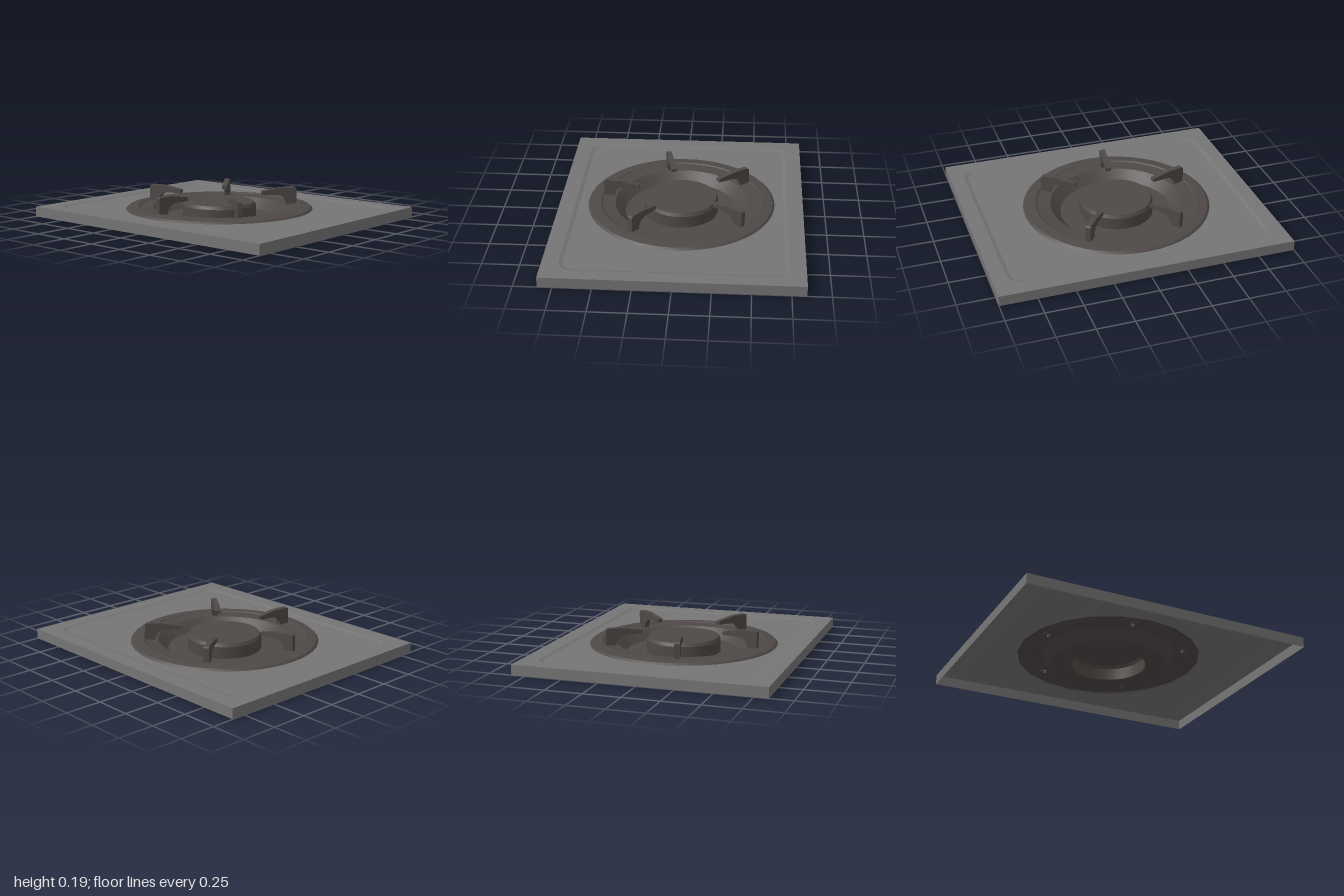
import * as THREE from 'three';
import { toCreasedNormals } from 'three/addons/utils/BufferGeometryUtils.js';

const W = 0.845, D = 1, TOP = 0.07, RECESS = 0.061, CZ = -0.04;

function rect(w, d, r) {
  const s = new THREE.Shape();
  s.moveTo(-w + r, -d);
  s.lineTo(w - r, -d);
  if (r) s.absarc(w - r, -d + r, r, -Math.PI / 2, 0);
  s.lineTo(w, d - r);
  if (r) s.absarc(w - r, d - r, r, 0, Math.PI / 2);
  s.lineTo(-w + r, d);
  if (r) s.absarc(-w + r, d - r, r, Math.PI / 2, Math.PI);
  s.lineTo(-w, -d + r);
  if (r) s.absarc(-w + r, -d + r, r, Math.PI, Math.PI * 1.5);
  s.closePath();
  return s;
}

// Flat horizontal sheet at height y
function sheet(shape, y) {
  return new THREE.ShapeGeometry(shape, 10).rotateX(-Math.PI / 2).translate(0, y, 0);
}

// Strip joining two outlines with the same number of points
function band(shapeA, yA, shapeB, yB) {
  const a = shapeA.getPoints(8), b = shapeB.getPoints(8), pos = [];
  for (let i = 0; i < a.length; i++) {
    const j = (i + 1) % a.length;
    const p = [a[i].x, yA, -a[i].y], q = [a[j].x, yA, -a[j].y];
    const r = [b[j].x, yB, -b[j].y], s = [b[i].x, yB, -b[i].y];
    pos.push(...p, ...q, ...r, ...p, ...r, ...s);
  }
  const g = new THREE.BufferGeometry();
  g.setAttribute('position', new THREE.Float32BufferAttribute(pos, 3));
  g.computeVertexNormals();
  return g;
}

function lathe(profile, segments) {
  const g = new THREE.LatheGeometry(profile.map(([x, y]) => new THREE.Vector2(x, y)), segments);
  return toCreasedNormals(g, 0.35);
}

export function createModel() {
  const model = new THREE.Group();
  const steel = new THREE.MeshStandardMaterial({ color: 0x757575, side: THREE.DoubleSide });
  steel.name = 'grey steel';
  const iron = new THREE.MeshStandardMaterial({ color: 0x4e4947, side: THREE.DoubleSide });
  iron.name = 'dark iron';
  const add = (parent, name, geometry, material) => {
    const mesh = new THREE.Mesh(geometry, material);
    mesh.name = name;
    parent.add(mesh);
    return mesh;
  };

  // Hob plate: open-bottomed tray with a shallow recessed top
  const plate = new THREE.Group();
  plate.name = 'hobPlate';
  model.add(plate);
  const outer = rect(W, D, 0);
  const lip = rect(0.735, 0.9, 0.1);
  const floor = rect(0.71, 0.875, 0.075);
  const border = rect(W, D, 0);
  border.holes.push(lip);
  const recess = rect(0.71, 0.875, 0.075);
  const hole = new THREE.Path();
  hole.absarc(0, -CZ, 0.63, 0, Math.PI * 2, true);
  recess.holes.push(hole);
  add(plate, 'plateSkirt', band(outer, 0, outer, TOP), steel);
  add(plate, 'plateBorder', sheet(border, TOP), steel);
  add(plate, 'recessSlope', band(lip, TOP, floor, RECESS), steel);
  add(plate, 'recessFloor', sheet(recess, RECESS), steel);

  // Burner pan and cap
  const burner = new THREE.Group();
  burner.name = 'burner';
  burner.position.z = CZ;
  model.add(burner);
  add(burner, 'burnerPan', lathe([
    [0.65, 0.06], [0.635, 0.074], [0.575, 0.083], [0.56, 0.083], [0.55, 0.076],
    [0.46, 0.07], [0.39, 0.002], [0.255, 0.002],
  ], 48), iron);
  add(burner, 'burnerCap', lathe([
    [0.255, 0.002], [0.255, 0.085], [0.242, 0.107], [0, 0.107],
  ], 48), iron);

  // Five pan supports, each a hooked prong on a small peg
  const hook = new THREE.Shape();
  hook.moveTo(0.55, 0.072);
  hook.lineTo(0.55, 0.172);
  hook.quadraticCurveTo(0.549, 0.19, 0.53, 0.19);
  hook.lineTo(0.44, 0.19);
  hook.lineTo(0.3, 0.167);
  hook.lineTo(0.3, 0.143);
  hook.lineTo(0.41, 0.14);
  hook.quadraticCurveTo(0.475, 0.135, 0.48, 0.072);
  hook.closePath();
  const hookGeo = new THREE.ExtrudeGeometry(hook, { depth: 0.036, bevelEnabled: false, curveSegments: 5 })
    .translate(0, 0, -0.018);
  const pegGeo = new THREE.CylinderGeometry(0.014, 0.014, 0.03, 10).translate(0.515, 0.065, 0);
  for (const degrees of [-103.5, -34, 38, 125, 187.5]) {
    const support = new THREE.Group();
    support.name = 'panSupport';
    support.rotation.y = -THREE.MathUtils.degToRad(degrees);
    add(support, 'supportProng', hookGeo, iron);
    add(support, 'supportPeg', pegGeo, iron);
    burner.add(support);
  }
  return model;
}
